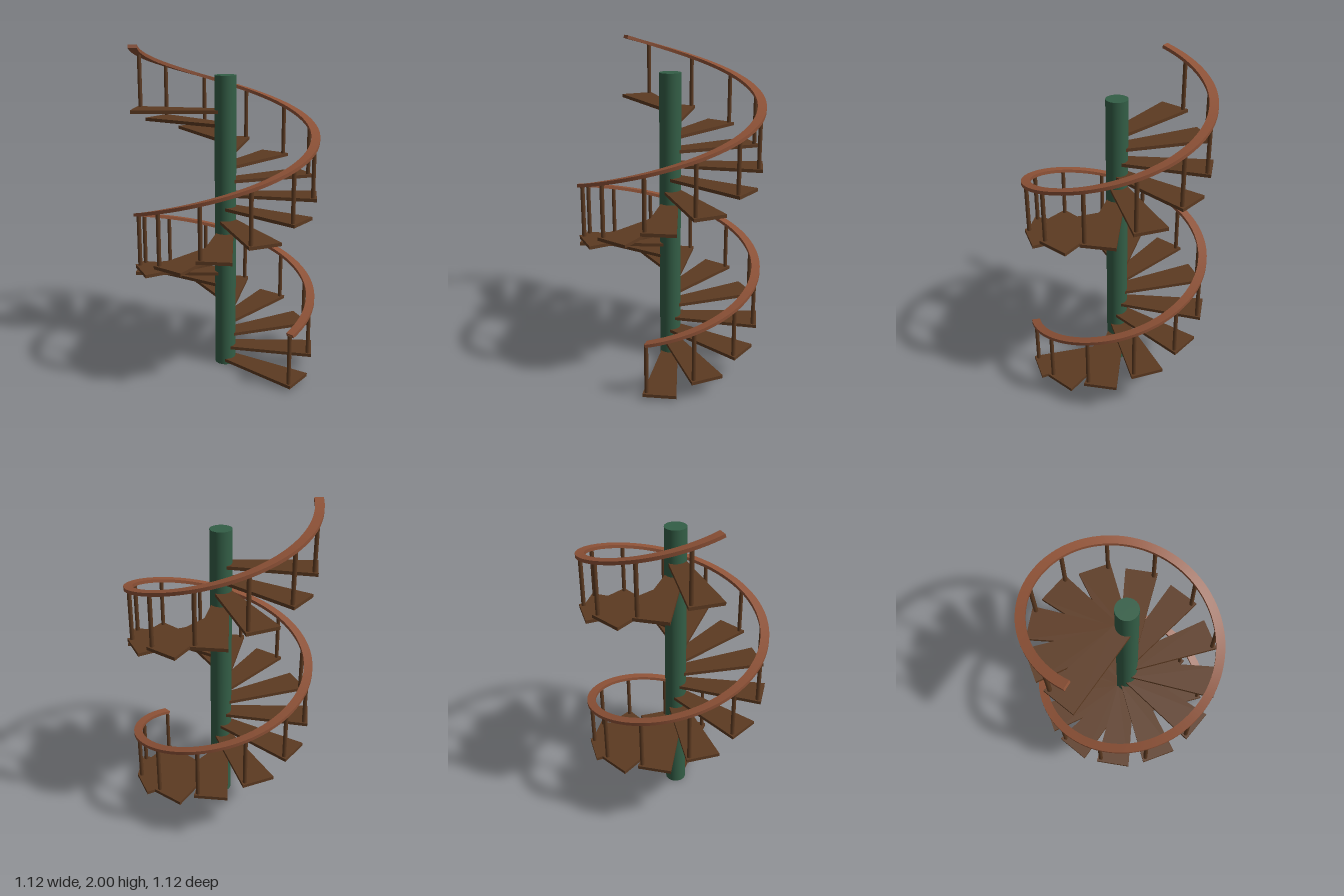
import * as THREE from 'three';

const STEPS = 20;
const RISE = 0.0836;                 // height per step
const TURN = Math.PI / 6;            // angle per step
const RAIL_R = 0.533;                // radius of the rail centreline
const LEAD = THREE.MathUtils.degToRad(8.4); // posts sit near the leading tread edge
const RAIL_START = 0.355;

const railY = a => RAIL_START + (a + LEAD) * RISE / TURN;

// Wedge-shaped tread lying along +x
function treadGeometry(thickness) {
  const r0 = 0.035, r1 = 0.55, h0 = 0.053, h1 = 0.1;
  const shape = new THREE.Shape([
    new THREE.Vector2(r0, -h0), new THREE.Vector2(r1, -h1),
    new THREE.Vector2(r1, h1), new THREE.Vector2(r0, h0),
  ]);
  const geo = new THREE.ExtrudeGeometry(shape, { depth: thickness, bevelEnabled: false });
  return geo.rotateX(-Math.PI / 2);
}

// Flat rectangular bar swept along a helix, one strip per side for sharp edges
function railGeometry(a0, a1, width, height, segments) {
  const corners = [[-1, -1], [1, -1], [1, 1], [-1, 1]];
  const pitch = Math.atan(RISE / TURN / RAIL_R);
  const pos = [], index = [];
  const point = (a, [u, v]) => {
    const r = RAIL_R + u * width / 2;
    const back = -v * height / 2 * Math.sin(pitch);
    pos.push(
      r * Math.cos(a) - back * Math.sin(a),
      railY(a) + v * height / 2 * Math.cos(pitch),
      -r * Math.sin(a) - back * Math.cos(a));
  };
  corners.forEach((c, k) => {
    const d = corners[(k + 1) % 4];
    const base = pos.length / 3;
    for (let i = 0; i <= segments; i++) {
      const a = a0 + (a1 - a0) * i / segments;
      point(a, c);
      point(a, d);
      if (i < segments) {
        const n = base + i * 2;
        index.push(n, n + 2, n + 1, n + 1, n + 2, n + 3);
      }
    }
  });
  // End caps
  [a0, a1].forEach((a, end) => {
    const n = pos.length / 3;
    corners.forEach(c => point(a, c));
    if (end) index.push(n, n + 2, n + 1, n, n + 3, n + 2);
    else index.push(n, n + 1, n + 2, n, n + 2, n + 3);
  });
  const geo = new THREE.BufferGeometry();
  geo.setAttribute('position', new THREE.Float32BufferAttribute(pos, 3));
  geo.setIndex(index);
  geo.computeVertexNormals();
  return geo;
}

export function createModel() {
  const green = new THREE.MeshStandardMaterial({ name: 'greenPaint', color: 0x335e46 });
  const wood = new THREE.MeshStandardMaterial({ name: 'darkWood', color: 0x5c3a21 });
  const railWood = new THREE.MeshStandardMaterial({ name: 'redWood', color: 0x8e5237 });
  railWood.side = THREE.DoubleSide;

  const model = new THREE.Group();
  model.name = 'spiralStaircase';
  const add = (name, geo, mat, parent = model) => {
    const mesh = new THREE.Mesh(geo, mat);
    mesh.name = name;
    parent.add(mesh);
    return mesh;
  };

  // Central column
  add('centralColumn', new THREE.CylinderGeometry(0.065, 0.065, 1.828, 32), green)
    .position.y = 0.914;

  // Treads, each with one post up to the rail
  const tread = treadGeometry(0.02);
  for (let i = 0; i < STEPS; i++) {
    const step = new THREE.Group();
    step.name = 'step' + (i + 1);
    step.rotation.y = i * TURN;
    step.position.y = 0.019 + i * RISE;
    model.add(step);
    add('tread', tread, wood, step);

    const top = railY(i * TURN - LEAD) - step.position.y;
    const post = add('post', new THREE.CylinderGeometry(0.0125, 0.0125, top - 0.01, 10), wood, step);
    post.position.set(RAIL_R * Math.cos(LEAD), (top + 0.01) / 2, RAIL_R * Math.sin(LEAD));
  }

  // Handrail
  add('handrail', railGeometry(-LEAD, (STEPS - 1) * TURN + LEAD, 0.052, 0.02, 200), railWood);

  return model;
}
